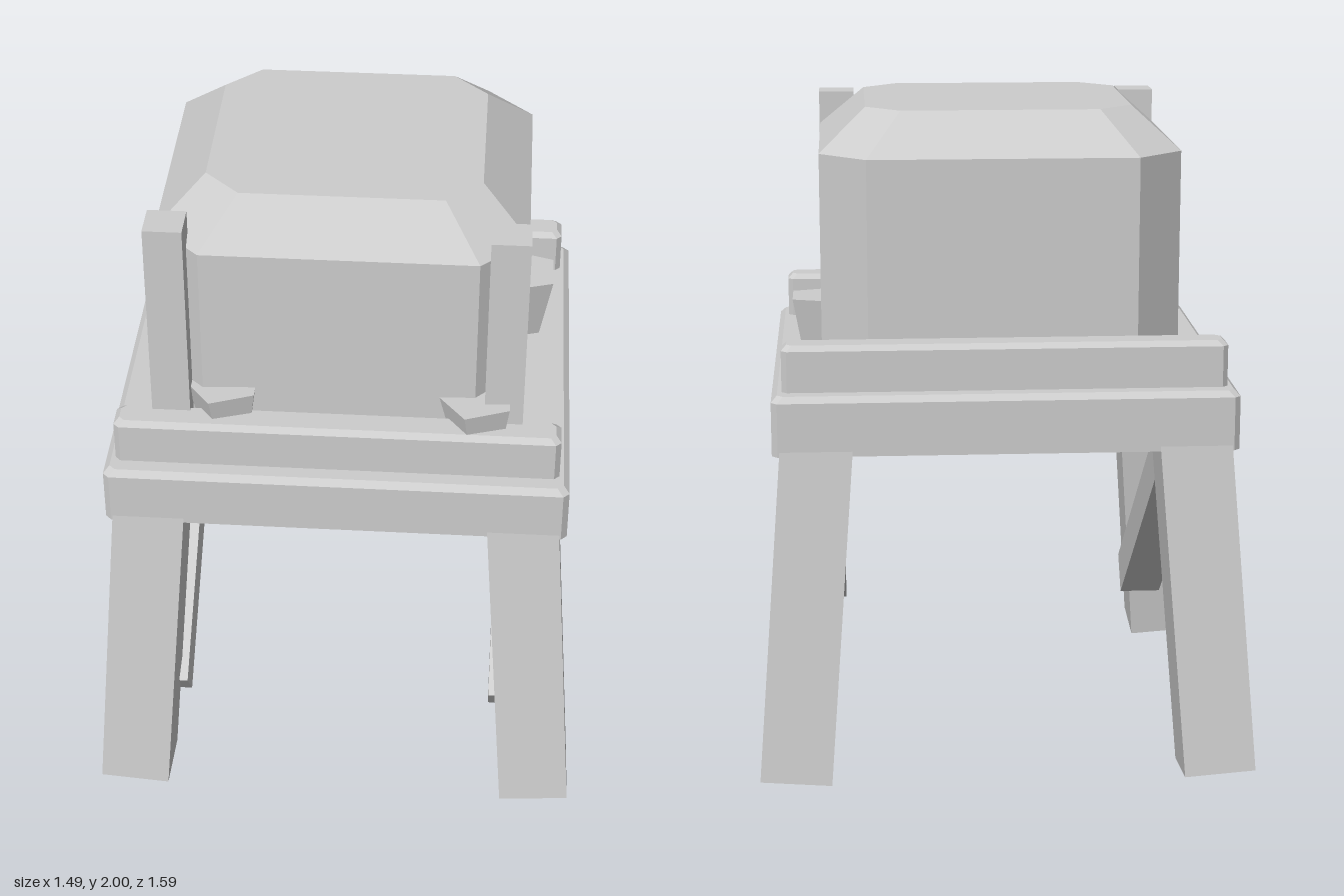
import * as THREE from 'three';

// Lofted solid from chamfered rectangles, each ring = [halfX, halfZ, chamfer, y]
function chamferedLoft(rings) {
  const loops = rings.map(([x, z, c, y]) => [
    [x, z - c], [x - c, z], [c - x, z], [-x, z - c],
    [-x, c - z], [c - x, -z], [x - c, -z], [x, c - z],
  ].map(([px, pz]) => new THREE.Vector3(px, y, pz)));
  const pts = [];
  for (let r = 0; r < loops.length - 1; r++) {
    for (let i = 0; i < 8; i++) {
      const j = (i + 1) % 8;
      const a = loops[r][i], b = loops[r][j], c = loops[r + 1][j], d = loops[r + 1][i];
      pts.push(a, d, b, b, d, c);
    }
  }
  const bottom = loops[0], top = loops[loops.length - 1];
  for (let i = 1; i < 7; i++) {
    pts.push(bottom[0], bottom[i], bottom[i + 1]);
    pts.push(top[0], top[i + 1], top[i]);
  }
  const geo = new THREE.BufferGeometry().setFromPoints(pts);
  geo.computeVertexNormals();
  return geo;
}

// Slab with chamfered corners and a bevelled top edge
function slab(hx, hz, y0, y1, b) {
  return chamferedLoft([[hx, hz, b, y0], [hx, hz, b, y1 - b], [hx - b, hz - b, b, y1]]);
}

export function createModel() {
  const model = new THREE.Group();
  const grey = new THREE.MeshStandardMaterial({ color: 0xcccccc, flatShading: true });
  grey.name = 'light grey';

  const add = (name, geo, x = 0, y = 0, z = 0, rx = 0, rz = 0) => {
    const mesh = new THREE.Mesh(geo, grey);
    mesh.name = name;
    mesh.position.set(x, y, z);
    mesh.rotation.set(rx, 0, rz);
    model.add(mesh);
  };

  // Platform and the two rails on it
  add('platform', slab(0.695, 0.675, 1.02, 1.2, 0.018));
  const rail = slab(0.664, 0.053, 1.19, 1.34, 0.016);
  add('frontRail', rail, 0, 0, 0.56);
  add('backRail', rail, 0, 0, -0.56);

  // Tank with cut corners and a sloping shoulder
  add('tank', chamferedLoft([
    [0.545, 0.504, 0.14, 1.23],
    [0.545, 0.504, 0.14, 1.873],
    [0.404, 0.364, 0.105, 2],
  ]));

  // Upright posts at the front corners of the tank
  const post = new THREE.BoxGeometry(0.114, 0.777, 0.114);
  add('rightPost', post, -0.498, 1.579, 0.479);
  add('leftPost', post, 0.491, 1.579, 0.479);

  // Tapered five-sided pegs driven through the platform
  const peg = new THREE.CylinderGeometry(0.117, 0.013, 0.48, 5, 1, false, -Math.PI / 2);
  for (const [x, z] of [[-0.332, 0.476], [0.424, 0.5], [0.539, -0.183]]) {
    add('peg', peg, x, 1.168, z, 0, x < 0.5 ? 0.045 : 0);
  }

  // Splayed legs, and a diagonal brace on each side
  const leg = new THREE.BoxGeometry(0.215, 1.09, 0.217);
  const brace = new THREE.BoxGeometry(0.136, 0.138, 1.4);
  for (const sx of [-1, 1]) {
    for (const sz of [-1, 1]) {
      add(sz > 0 ? 'frontLeg' : 'backLeg', leg, sx * 0.599, 0.565, sz * 0.621, -sz * 0.117, sx * 0.075);
    }
    add('brace', brace, sx * 0.552, 0.663, 0, 0.648);
  }
  return model;
}
